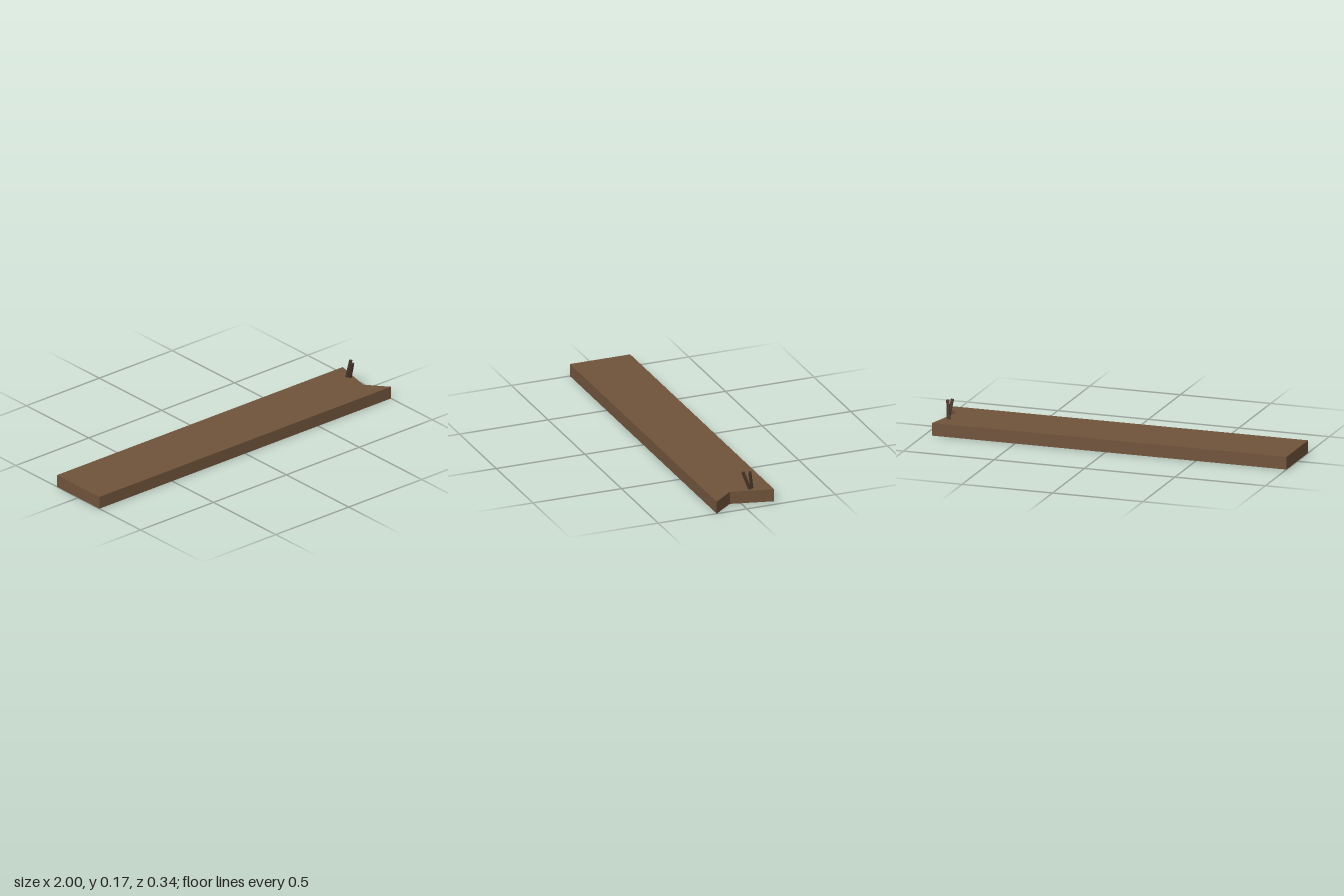
import * as THREE from 'three';

export function createModel() {
  const model = new THREE.Group();
  const wood = new THREE.MeshStandardMaterial({ color: 0x70533b });
  wood.name = 'wood';
  const darkWood = new THREE.MeshStandardMaterial({ color: 0x49362a });
  darkWood.name = 'dark wood';
  darkWood.flatShading = true;

  // Plank outline with one broken, notched end; shape y becomes -z
  const outline = [[-1, 0.17], [1, 0.17], [0.905, 0.057], [0.96, -0.17], [-1, -0.17]];
  const shape = new THREE.Shape(outline.map(([x, z]) => new THREE.Vector2(x, -z)));
  const plankGeometry = new THREE.ExtrudeGeometry(shape, { depth: 0.068, bevelEnabled: false });
  plankGeometry.rotateX(-Math.PI / 2);
  const plank = new THREE.Mesh(plankGeometry, wood);
  plank.name = 'plank';
  model.add(plank);

  // Two thin splinters standing beside the notch
  const addSplinter = (name, base, top) => {
    const from = new THREE.Vector3(...base);
    const to = new THREE.Vector3(...top);
    const dir = to.clone().sub(from);
    const geometry = new THREE.CylinderGeometry(0.0088, 0.0088, dir.length(), 6);
    const splinter = new THREE.Mesh(geometry, darkWood);
    splinter.name = name;
    splinter.position.copy(from).add(to).multiplyScalar(0.5);
    splinter.quaternion.setFromUnitVectors(new THREE.Vector3(0, 1, 0), dir.normalize());
    model.add(splinter);
  };
  addSplinter('frontSplinter', [0.911, 0.06, -0.056], [0.899, 0.165, -0.019]);
  addSplinter('backSplinter', [0.9, 0.06, -0.07], [0.914, 0.167, -0.052]);

  return model;
}
